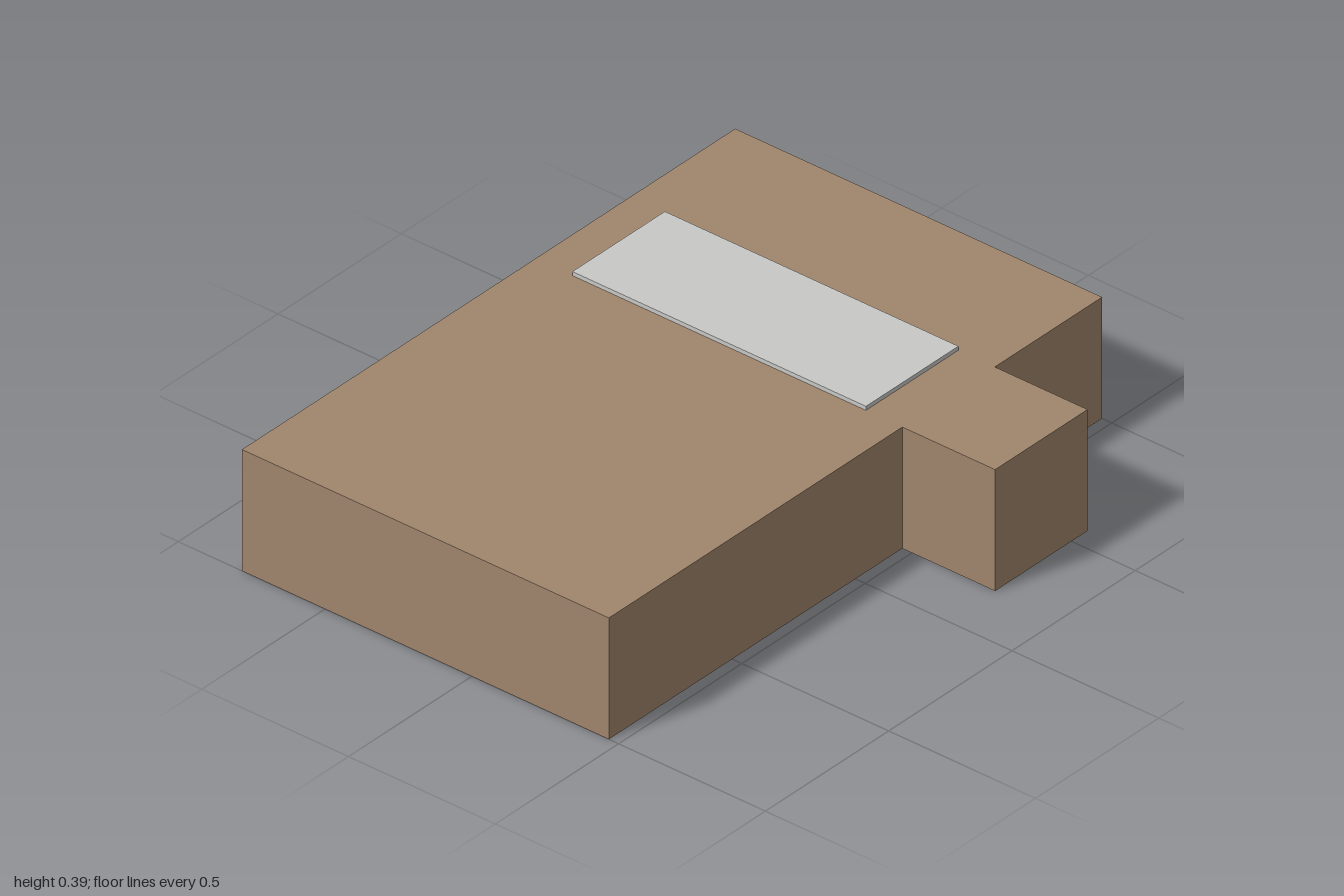
import * as THREE from 'three';

const tan = new THREE.MeshStandardMaterial({ color: 0xa0856c });
tan.name = 'tan';
const paleGrey = new THREE.MeshStandardMaterial({ color: 0xc8c8c6 });
paleGrey.name = 'paleGrey';

const HEIGHT = 0.378;

export function createModel() {
  const model = new THREE.Group();
  model.name = 'buildingBlock';

  // Main block with a side wing, drawn as a footprint (x, -z) and extruded upwards
  const footprint = new THREE.Shape([
    [-0.783, -1], [0.467, -1], [0.467, 0.19], [0.783, 0.19],
    [0.783, 0.565], [0.467, 0.565], [0.467, 1], [-0.783, 1],
  ].map(([x, y]) => new THREE.Vector2(x, y)));
  const bodyGeometry = new THREE.ExtrudeGeometry(footprint, { depth: HEIGHT, bevelEnabled: false });
  bodyGeometry.rotateX(-Math.PI / 2);
  const body = new THREE.Mesh(bodyGeometry, tan);
  body.name = 'bodyWithSideWing';
  model.add(body);

  // Thin slab lying on the roof, in line with the wing
  const slab = new THREE.Mesh(new THREE.BoxGeometry(1, 0.0125, 0.375), paleGrey);
  slab.name = 'roofSlab';
  slab.position.set(-0.157, HEIGHT + 0.00625, -0.3775);
  model.add(slab);

  return model;
}
